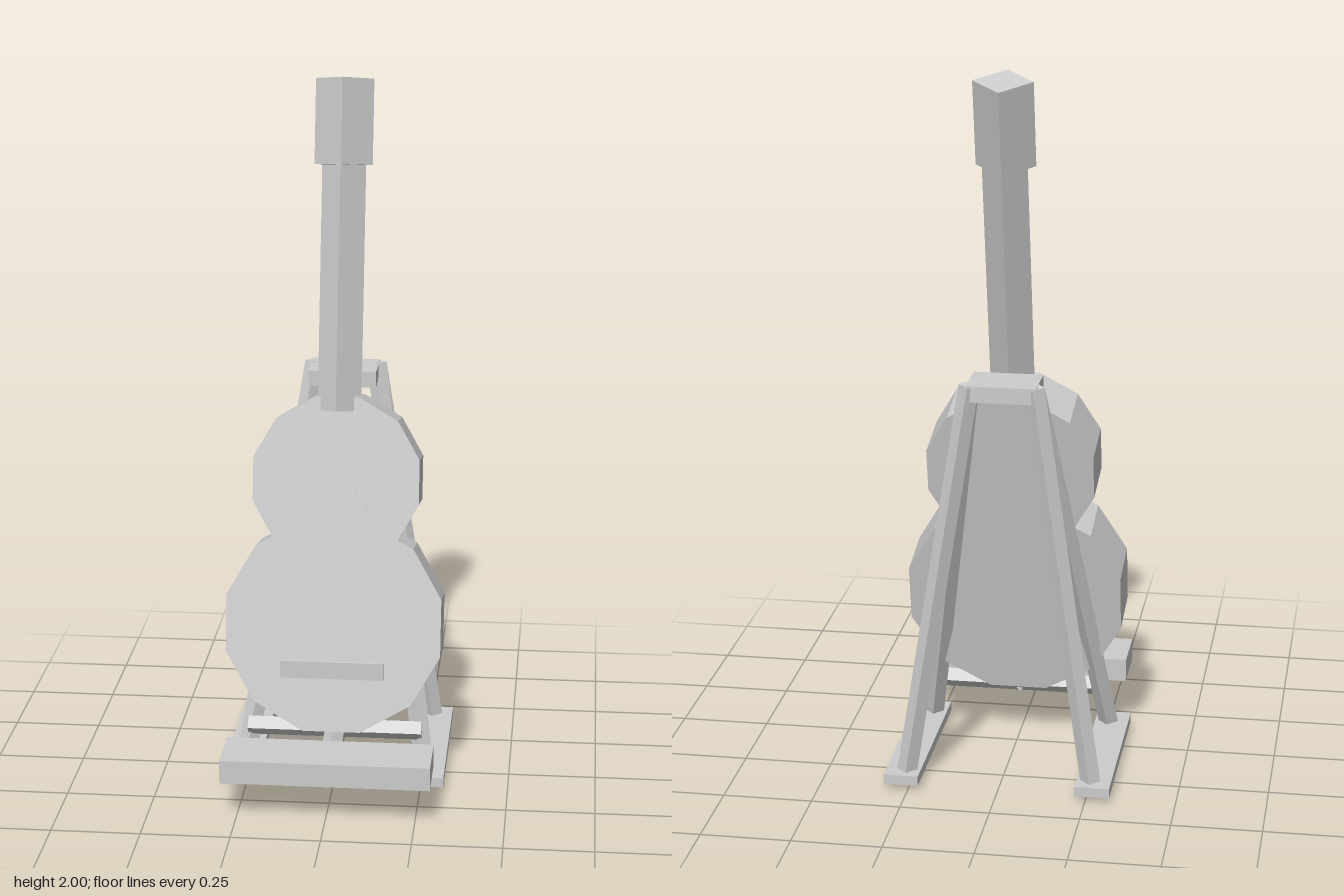
import * as THREE from 'three';

export function createModel() {
  const grey = new THREE.MeshStandardMaterial({ color: 0xcccccc, flatShading: true });
  grey.name = 'light grey';
  const model = new THREE.Group();
  model.name = 'guitarOnStand';

  function add(parent, name, geometry, x = 0, y = 0, z = 0) {
    const mesh = new THREE.Mesh(geometry, grey);
    mesh.name = name;
    mesh.position.set(x, y, z);
    parent.add(mesh);
    return mesh;
  }
  // box given by its lower and upper limits
  function box(parent, name, [x0, y0, z0], [x1, y1, z1]) {
    return add(parent, name, new THREE.BoxGeometry(x1 - x0, y1 - y0, z1 - z0),
      (x0 + x1) / 2, (y0 + y1) / 2, (z0 + z1) / 2);
  }
  // four-sided rod between two points
  function rod(parent, name, a, b, r = 0.028) {
    const from = new THREE.Vector3(...a), to = new THREE.Vector3(...b);
    const dir = to.clone().sub(from);
    const mesh = add(parent, name, new THREE.CylinderGeometry(r, r, dir.length(), 4));
    mesh.position.copy(from).add(to).multiplyScalar(0.5);
    mesh.quaternion.setFromUnitVectors(new THREE.Vector3(0, 1, 0), dir.normalize());
    return mesh;
  }

  // Guitar, leaning back about the lower front edge of its body
  const guitar = new THREE.Group();
  guitar.name = 'guitar';
  guitar.position.set(0, 0.195, 0.19);
  guitar.rotation.x = THREE.MathUtils.degToRad(-12);
  model.add(guitar);

  // body: two twelve-sided bouts joined at the waist
  const half = [];
  const bout = (cy, r, angles) => angles.forEach((d) => {
    const a = THREE.MathUtils.degToRad(d);
    half.push(new THREE.Vector2(r * Math.cos(a), cy + r * Math.sin(a)));
  });
  bout(0.304, 0.315, [-75, -45, -15, 15, 45]);
  half.push(new THREE.Vector2(0.177, 0.551));
  bout(0.715, 0.243, [-15, 15, 45, 75]);
  const mirrored = half.map((p) => new THREE.Vector2(-p.x, p.y)).reverse();
  const outline = new THREE.Shape([...half, ...mirrored]);
  add(guitar, 'body', new THREE.ExtrudeGeometry(outline, { depth: 0.17, bevelEnabled: false }), 0, 0, -0.17);

  const hole = add(guitar, 'soundHole', new THREE.CylinderGeometry(0.096, 0.096, 0.004, 12), 0, 0.608, 0);
  hole.rotation.x = Math.PI / 2;

  // neck, fretboard and head set edge-on, back faces flush
  rod(guitar, 'neck', [0, 0.92, -0.071], [0, 1.61, -0.071], 0.062);
  rod(guitar, 'fretboard', [0, 0.912, -0.002], [0, 1.598, -0.002], 0.049);
  rod(guitar, 'head', [0, 1.6, -0.051], [0, 1.84, -0.051], 0.082);

  box(model, 'bridge', [-0.146, 0.35, 0.161], [0.146, 0.4, 0.178]);

  // Stand
  const stand = new THREE.Group();
  stand.name = 'stand';
  model.add(stand);
  for (const s of [-1, 1]) {
    const side = s > 0 ? 'left' : 'right';
    add(stand, side + 'Foot', new THREE.BoxGeometry(0.097, 0.028, 0.535), s * 0.269, 0.031, -0.1225);
    rod(stand, side + 'FrontLeg', [s * 0.264, 0.01, 0.09], [s * 0.09, 1.155, -0.27]);
    rod(stand, side + 'BackLeg', [s * 0.264, 0.012, -0.344], [s * 0.09, 1.155, -0.275]);
  }
  box(stand, 'topBar', [-0.097, 1.115, -0.295], [0.097, 1.16, -0.15]);
  rod(stand, 'crossbar', [-0.25, 0.158, 0.07], [0.25, 0.158, 0.07]);
  rod(stand, 'restArm', [0, 0.16, 0.06], [0, 0.135, 0.23]);
  box(stand, 'frontRest', [-0.293, 0.113, 0.22], [0.293, 0.18, 0.39]);

  return model;
}
